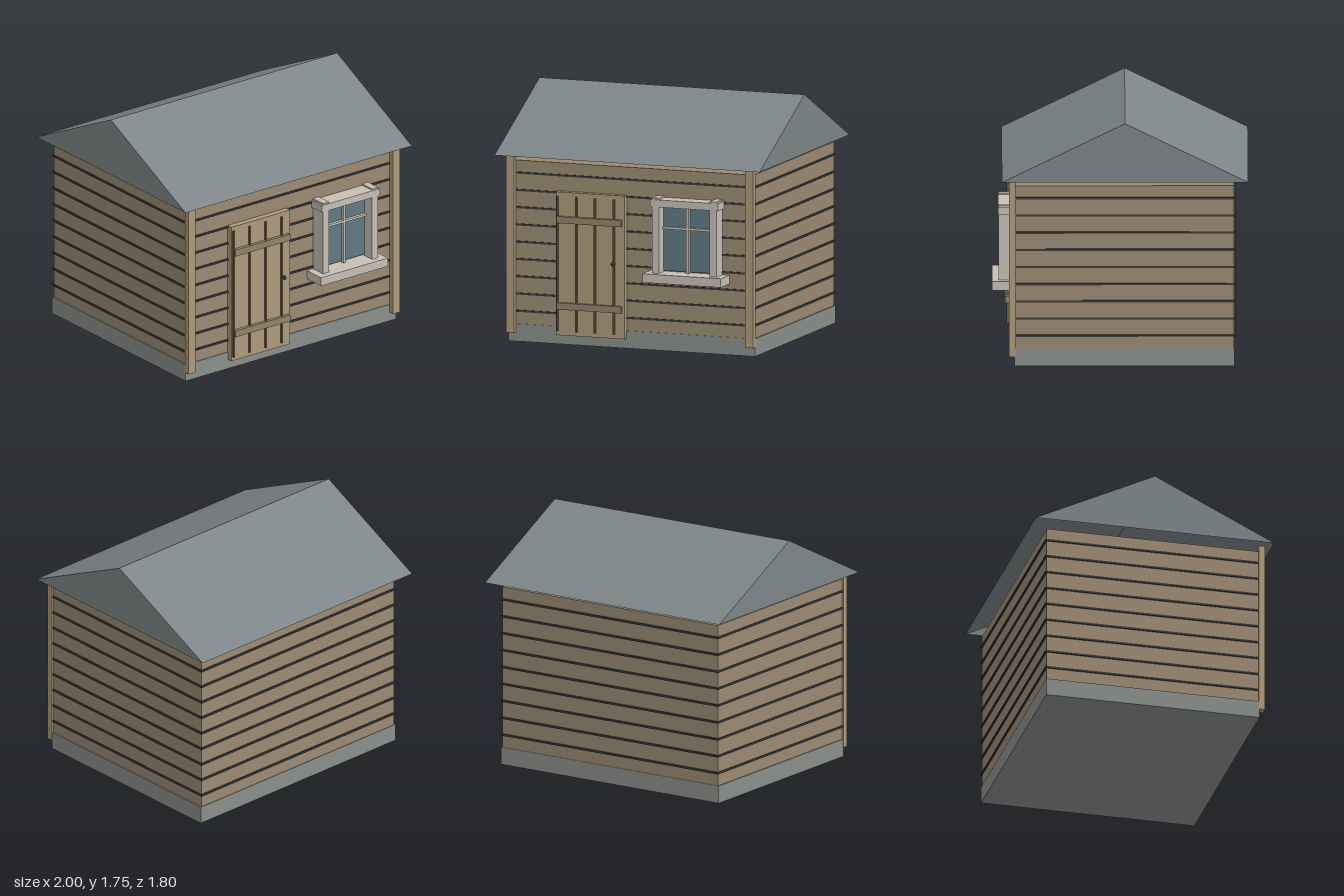
import * as THREE from 'three';

const material = (color, side = THREE.FrontSide) =>
  new THREE.MeshStandardMaterial({ color, side, flatShading: true });

const stone = material(0x8a8f8b);
const wood = material(0x9b8a73);
const paleWood = material(0xae9a7a);
const battenWood = material(0x93826a);
const gap = material(0x3a3a3a);
const doorGap = material(0x6b5d47);
const trim = material(0xc6c0b6);
const glass = material(0x5f7a83);
const roofing = material(0x7d8588, THREE.DoubleSide);

export function createModel() {
  const house = new THREE.Group();
  house.name = 'cabin';

  // Box given by its low and high limits on each axis
  const box = (name, mat, [x0, x1], [y0, y1], [z0, z1], parent = house) => {
    const mesh = new THREE.Mesh(new THREE.BoxGeometry(x1 - x0, y1 - y0, z1 - z0), mat);
    mesh.position.set((x0 + x1) / 2, (y0 + y1) / 2, (z0 + z1) / 2);
    mesh.name = name;
    parent.add(mesh);
    return mesh;
  };
  const group = (name) => {
    const g = new THREE.Group();
    g.name = name;
    house.add(g);
    return g;
  };

  // Foundation and plank walls
  box('foundation', stone, [-0.93, 0.93], [0, 0.125], [-0.805, 0.74]);
  box('walls', wood, [-0.92, 0.92], [0.12, 1.29], [-0.8, 0.735]);

  // Dark seams between the planks, running round all walls
  const seams = group('plankSeams');
  for (let i = 0; i < 9; i++) {
    const y = 0.217 + i * 0.123;
    box('plankSeam', gap, [-0.928, 0.928], [y - 0.007, y + 0.007], [-0.81, 0.743], seams);
  }

  // Front corner posts
  box('rightPost', paleWood, [-0.933, -0.873], [0.065, 1.33], [0.735, 0.78]);
  box('leftPost', paleWood, [0.873, 0.933], [0.065, 1.33], [0.735, 0.78]);

  // Door with board seams, two battens and a knob
  const door = group('door');
  box('doorPanel', paleWood, [-0.555, -0.037], [0.07, 1.09], [0.735, 0.78], door);
  for (const x of [-0.541, -0.4, -0.259, -0.117])
    box('doorSeam', doorGap, [x - 0.006, x + 0.006], [0.1, 1.06], [0.775, 0.795], door);
  for (const y of [0.28, 0.895])
    box('doorBatten', battenWood, [-0.54, -0.055], [y - 0.024, y + 0.024], [0.775, 0.805], door);
  const knob = new THREE.Mesh(new THREE.SphereGeometry(0.015, 16, 10),
    new THREE.MeshStandardMaterial({ color: 0x333333 }));
  knob.name = 'doorKnob';
  knob.position.set(-0.113, 0.605, 0.815);
  door.add(knob);
  const stem = new THREE.Mesh(new THREE.CylinderGeometry(0.006, 0.006, 0.04, 10), knob.material);
  stem.name = 'knobStem';
  stem.rotation.x = Math.PI / 2;
  stem.position.set(-0.113, 0.605, 0.79);
  door.add(stem);

  // Window: glass, glazing bars, frame and sill
  const win = group('window');
  box('windowGlass', glass, [0.24, 0.64], [0.575, 1.03], [0.735, 0.76], win);
  box('verticalBar', trim, [0.43, 0.448], [0.56, 1.045], [0.755, 0.785], win);
  box('horizontalBar', trim, [0.24, 0.64], [0.874, 0.891], [0.755, 0.783], win);
  box('rightStile', trim, [0.198, 0.25], [0.495, 1.103], [0.735, 0.852], win);
  box('leftStile', trim, [0.633, 0.685], [0.495, 1.103], [0.735, 0.852], win);
  box('windowHeader', trim, [0.185, 0.697], [1.04, 1.092], [0.735, 0.858], win);
  box('windowSill', trim, [0.145, 0.735], [0.504, 0.567], [0.735, 0.9], win);

  // Hollow gable roof, open underneath: two slopes and two gable ends
  const front = 0.83, back = -0.9, ridge = -0.035, eave = 1.33, top = 1.75;
  const F = (x) => [x, eave, front], B = (x) => [x, eave, back], R = (x) => [x, top, ridge];
  const faces = [
    F(-1), F(1), R(1), F(-1), R(1), R(-1),
    B(1), B(-1), R(-1), B(1), R(-1), R(1),
    F(1), B(1), R(1),
    B(-1), F(-1), R(-1),
  ];
  const roofGeometry = new THREE.BufferGeometry();
  roofGeometry.setAttribute('position', new THREE.Float32BufferAttribute(faces.flat(), 3));
  roofGeometry.computeVertexNormals();
  const roof = new THREE.Mesh(roofGeometry, roofing);
  roof.name = 'roof';
  house.add(roof);

  return house;
}
